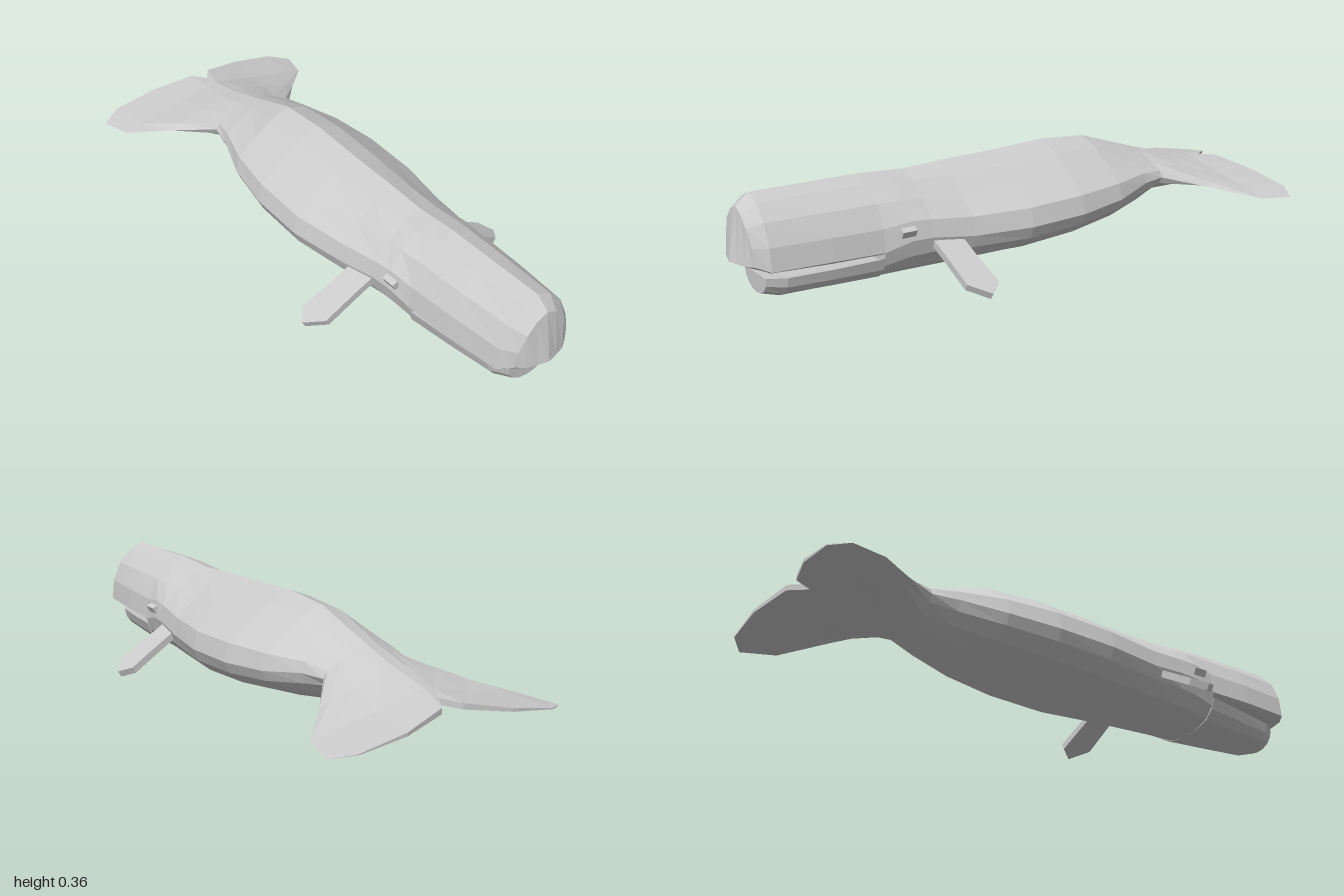
import * as THREE from 'three';

const material = new THREE.MeshStandardMaterial({ color: 0xcccccc, flatShading: true, side: THREE.DoubleSide });

// Half-ring profiles (top centre, side, bottom centre): fractions of width and of height from the side line
const styles = {
  head: { fx: [0, 0.37, 0.72, 0.94, 1, 0.92, 0.72, 0.38, 0], fy: [1, 0.9, 0.67, 0.34, 0, 0.4, 0.72, 0.93, 1] },
  body: { fx: [0, 0.34, 0.64, 0.94, 1, 0.93, 0.73, 0.36, 0], fy: [1, 0.84, 0.57, 0.3, 0, 0.32, 0.65, 0.93, 1] },
  fluke: { fx: [0, 0.09, 0.45, 0.83, 1, 0.83, 0.45, 0.09, 0], fy: [1, 0.93, 0.55, 0.2, 0, 0.2, 0.55, 0.93, 1] },
};

// One 16-sided cross-section; z is a number or one value per half-ring point
function ring({ z, w, top, side, bottom, from = 'body', to = from, t = 0 }) {
  const half = styles[from].fx.map((fx, k) => {
    const x = w * THREE.MathUtils.lerp(fx, styles[to].fx[k], t);
    const f = THREE.MathUtils.lerp(styles[from].fy[k], styles[to].fy[k], t);
    const end = k < 4 ? top : bottom;
    return [x, side + (end - side) * f, Array.isArray(z) ? z[k] : z];
  });
  const mirrored = half.slice(1, 8).reverse().map(([x, y, zz]) => [-x, y, zz]);
  return [...half, ...mirrored];
}

// Skin a list of cross-sections running from front to back, with both ends closed
function loft(name, sections) {
  const n = 16;
  const index = [];
  const last = (sections.length - 1) * n;
  const quad = (a, b, c, d) => index.push(a, b, c, a, c, d);
  for (let i = 0; i < sections.length - 1; i++) {
    for (let j = 0; j < n; j++) {
      const k = (j + 1) % n;
      quad(i * n + j, i * n + k, (i + 1) * n + k, (i + 1) * n + j);
    }
  }
  for (let j = -4; j < 4; j++) {
    const t0 = (j + n) % n, t1 = (j + 1 + n) % n, b0 = 8 - j, b1 = 7 - j;
    quad(t0, b0, b1, t1);
    quad(last + t0, last + t1, last + b1, last + b0);
  }
  const geometry = new THREE.BufferGeometry();
  geometry.setAttribute('position', new THREE.Float32BufferAttribute(sections.flatMap(ring).flat(), 3));
  geometry.setIndex(index);
  geometry.computeVertexNormals();
  const mesh = new THREE.Mesh(geometry, material);
  mesh.name = name;
  return mesh;
}

// Paddle-shaped flipper, angled down and outward from the left side
function flipper() {
  const outline = [[0, 0.40], [0.06, 0.395], [0.2, 0.388], [0.255, 0.325], [0.215, 0.28], [0.08, 0.295], [0, 0.3]];
  const shape = new THREE.Shape(outline.map(([x, z]) => new THREE.Vector2(x, -z)));
  const geometry = new THREE.ExtrudeGeometry(shape, { depth: 0.024, bevelEnabled: false });
  geometry.rotateX(-Math.PI / 2);
  geometry.rotateZ(-Math.PI / 6);
  geometry.translate(0.17, 0.122, 0);
  const mesh = new THREE.Mesh(geometry, material);
  mesh.name = 'flipper';
  return mesh;
}

// Small eye set under the brow
function eye() {
  const mesh = new THREE.Mesh(new THREE.BoxGeometry(0.02, 0.025, 0.05), material);
  mesh.name = 'eye';
  mesh.position.set(0.178, 0.18, 0.485);
  mesh.rotation.z = -0.5;
  return mesh;
}

export function createModel() {
  const whale = new THREE.Group();
  whale.name = 'whale';

  // Blunt head overhanging the mouth
  whale.add(loft('upperHead', [
    { z: [0.965, 0.965, 0.965, 0.96, 0.955, 0.96, 0.975, 0.985, 0.995], w: 0.1, top: 0.305, side: 0.14, bottom: 0.138, from: 'head' },
    { z: 0.92, w: 0.138, top: 0.34, side: 0.128, bottom: 0.115, from: 'head' },
    { z: 0.73, w: 0.158, top: 0.34, side: 0.128, bottom: 0.106, from: 'head' },
    { z: 0.56, w: 0.168, top: 0.34, side: 0.125, bottom: 0.106, from: 'head' },
  ]));

  // Lower jaw, narrowing to the front
  whale.add(loft('lowerJaw', [
    { z: 0.915, w: 0.08, top: 0.088, side: 0.09, bottom: 0.025, from: 'head' },
    { z: 0.86, w: 0.115, top: 0.085, side: 0.092, bottom: 0.01, from: 'head' },
    { z: 0.72, w: 0.14, top: 0.085, side: 0.097, bottom: 0.009, from: 'head' },
    { z: 0.56, w: 0.166, top: 0.085, side: 0.106, bottom: 0.008, from: 'head' },
  ]));

  // Body, tail stock and flukes in one skin
  whale.add(loft('bodyAndFlukes', [
    { z: 0.56, w: 0.168, top: 0.34, side: 0.125, bottom: 0.008, from: 'head' },
    { z: 0.47, w: 0.182, top: 0.334, side: 0.15, bottom: 0.006, from: 'head', to: 'body', t: 0.3 },
    { z: 0.4, w: 0.19, top: 0.33, side: 0.15, bottom: 0.005, from: 'head', to: 'body', t: 0.6 },
    { z: 0.26, w: 0.213, top: 0.336, side: 0.135, bottom: 0.005 },
    { z: 0.06, w: 0.248, top: 0.341, side: 0.135, bottom: 0.007 },
    { z: -0.15, w: 0.25, top: 0.35, side: 0.142, bottom: 0.022 },
    { z: -0.33, w: 0.225, top: 0.337, side: 0.155, bottom: 0.045 },
    { z: -0.48, w: 0.177, top: 0.29, side: 0.178, bottom: 0.07 },
    { z: -0.57, w: 0.16, top: 0.262, side: 0.18, bottom: 0.1, to: 'fluke', t: 0.2 },
    { z: -0.71, w: 0.272, top: 0.222, side: 0.145, bottom: 0.142, to: 'fluke', t: 0.6 },
    { z: -0.84, w: 0.39, top: 0.196, side: 0.112, bottom: 0.162, to: 'fluke', t: 1 },
    { z: [-0.9, -0.96, -1, -1, -0.955, -1, -1, -0.96, -0.9], w: 0.42, top: 0.185, side: 0.105, bottom: 0.165, to: 'fluke', t: 1 },
  ]));

  // Mirrored side parts
  for (const side of [1, -1]) {
    const group = new THREE.Group();
    group.name = side > 0 ? 'leftSide' : 'rightSide';
    group.add(flipper(), eye());
    group.scale.x = side;
    whale.add(group);
  }
  return whale;
}
